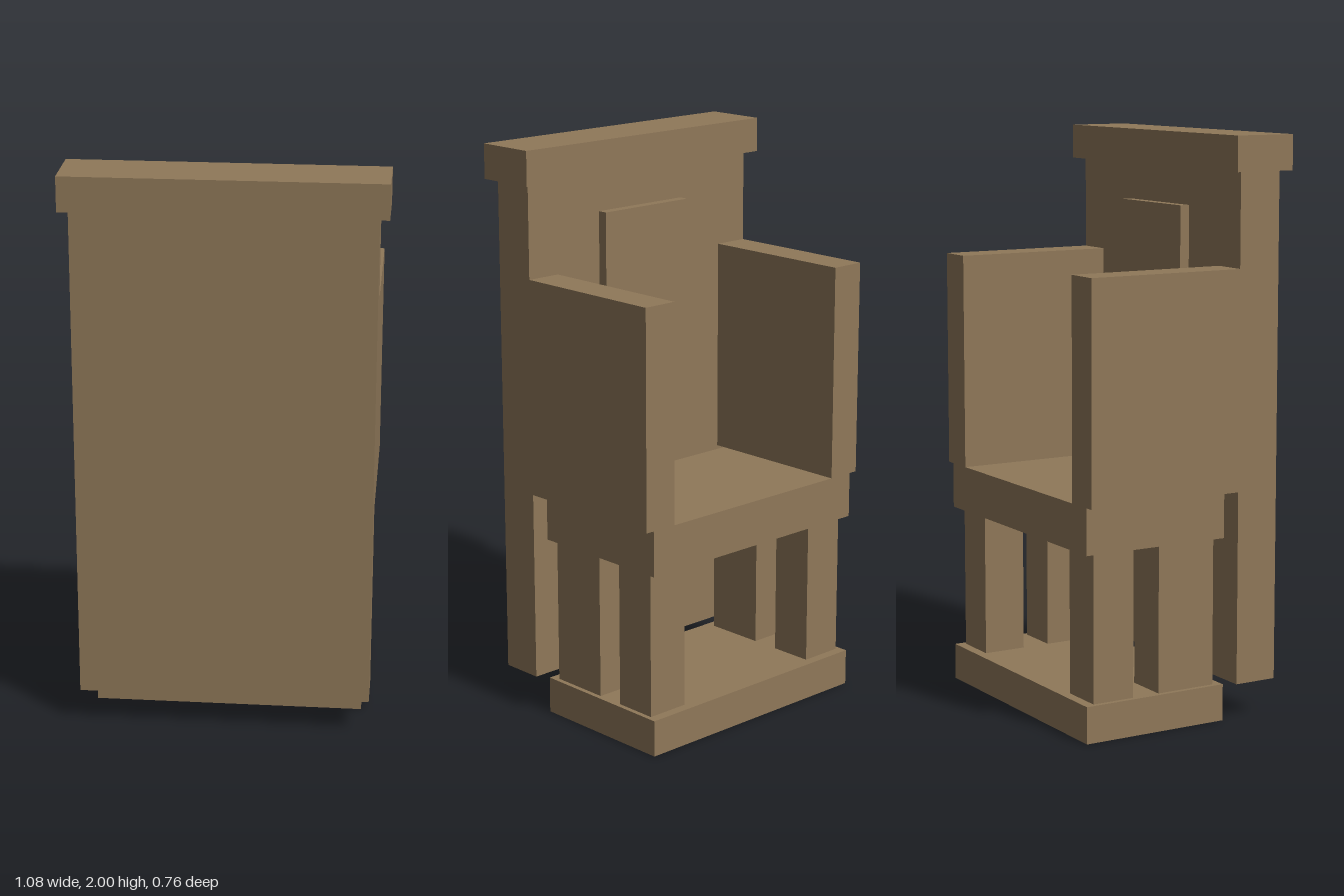
import * as THREE from 'three';

export function createModel() {
  const model = new THREE.Group();
  const wood = new THREE.MeshStandardMaterial({ color: 0x8f7859 });
  wood.name = 'brown wood';

  // Box given by its low and high limits on each axis
  const block = (name, [x0, x1], [y0, y1], [z0, z1]) => {
    const mesh = new THREE.Mesh(new THREE.BoxGeometry(x1 - x0, y1 - y0, z1 - z0), wood);
    mesh.position.set((x0 + x1) / 2, (y0 + y1) / 2, (z0 + z1) / 2);
    mesh.name = name;
    model.add(mesh);
  };

  // Base and seat slabs
  block('base', [-0.475, 0.475], [0, 0.128], [-0.38, 0.16]);
  block('seat', [-0.475, 0.475], [0.64, 0.8], [-0.38, 0.16]);

  // Tall back with its cap rail and raised panel
  block('backrest', [-0.507, 0.507], [0.13, 1.88], [0.195, 0.35]);
  block('capRail', [-0.54, 0.54], [1.88, 2], [0.16, 0.38]);
  block('backPanel', [-0.192, 0.192], [0.88, 1.75], [0.16, 0.195]);

  // Arms and legs, mirrored
  for (const [side, s] of [['left', 1], ['right', -1]]) {
    const span = (inner, outer) => (s > 0 ? [inner, outer] : [-outer, -inner]);
    block(side + 'Arm', span(0.381, 0.507), [0.8, 1.557], [-0.38, 0.195]);
    block(side + 'SeatFrontLeg', span(0.302, 0.458), [0.128, 0.64], [-0.345, -0.19]);
    block(side + 'SeatRearLeg', span(0.302, 0.458), [0.128, 0.64], [-0.09, 0.128]);
  }
  return model;
}
